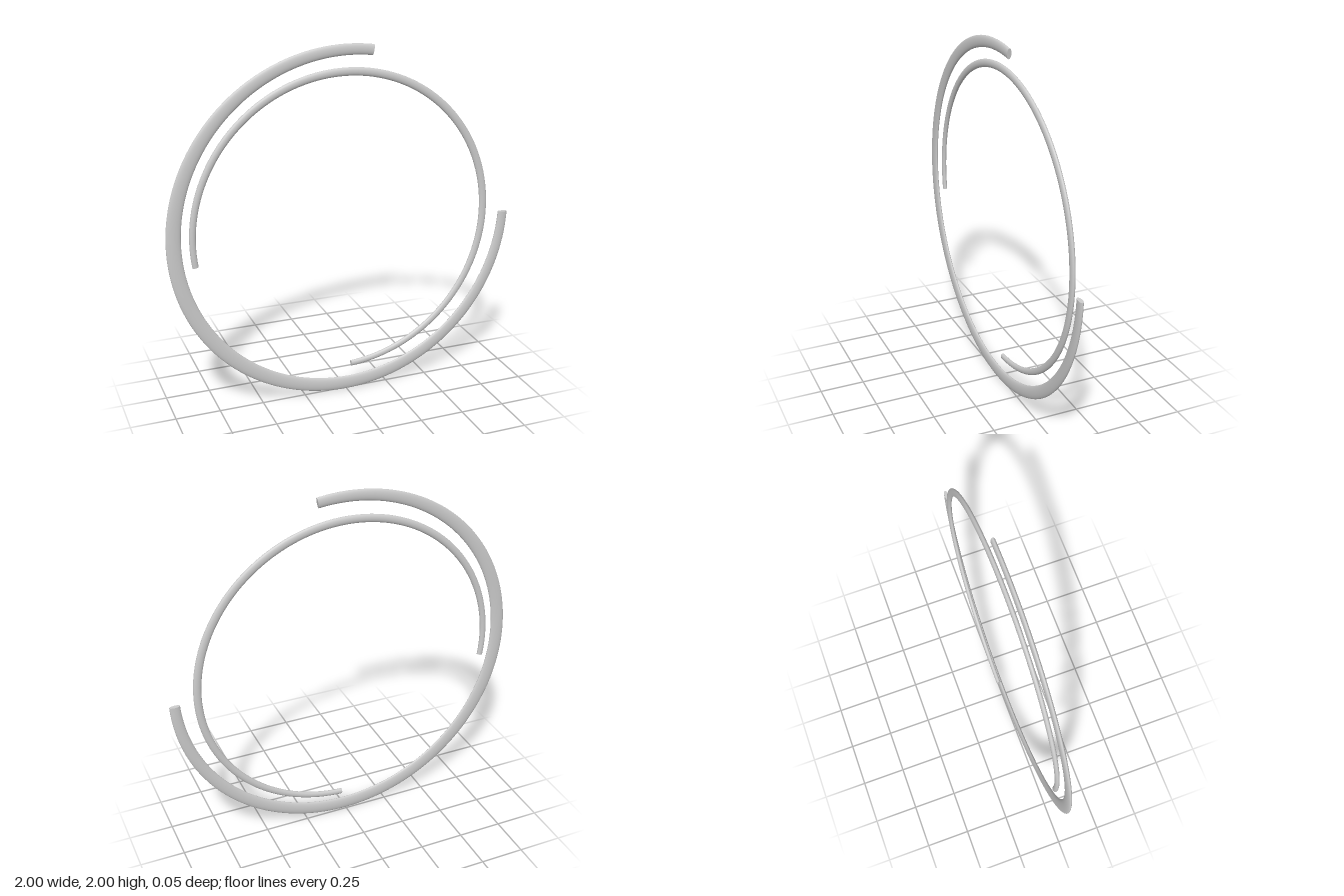
import * as THREE from 'three';

const SEGMENTS = 120, SIDES = 24;

// Circular band with an oval section: fixed outer radius, widest halfway along, flat capped ends
function arcBand(name, { from, to, outer, endWidth, midWidth, depth, z }) {
  const pos = [], index = [];
  const point = (deg, t, s) => {
    const half = (endWidth + (midWidth - endWidth) * Math.sin(Math.PI * t)) / 2;
    const a = THREE.MathUtils.degToRad(deg);
    const b = (s / SIDES) * Math.PI * 2;
    const r = outer - half + half * Math.cos(b);
    return [r * Math.cos(a), 1 + r * Math.sin(a), z + (depth / 2) * Math.sin(b)];
  };
  // Swept surface
  for (let i = 0; i <= SEGMENTS; i++) {
    const t = i / SEGMENTS;
    for (let s = 0; s < SIDES; s++) pos.push(...point(from + (to - from) * t, t, s));
  }
  for (let i = 0; i < SEGMENTS; i++) {
    for (let s = 0; s < SIDES; s++) {
      const n = (s + 1) % SIDES;
      const a = i * SIDES + s, b = i * SIDES + n;
      const c = a + SIDES, d = b + SIDES;
      index.push(a, b, c, b, d, c);
    }
  }
  // End caps, with their own vertices to keep the rims sharp
  for (const t of [0, 1]) {
    const base = pos.length / 3;
    for (let s = 0; s < SIDES; s++) pos.push(...point(t ? to : from, t, s));
    for (let s = 1; s < SIDES - 1; s++) {
      if (t) index.push(base, base + s, base + s + 1);
      else index.push(base, base + s + 1, base + s);
    }
  }
  // Sweep runs counter-clockwise with the section turning outward to front: flip to face out
  for (let i = 0; i < index.length; i += 3) [index[i + 1], index[i + 2]] = [index[i + 2], index[i + 1]];

  const geometry = new THREE.BufferGeometry();
  geometry.setAttribute('position', new THREE.Float32BufferAttribute(pos, 3));
  geometry.setIndex(index);
  geometry.computeVertexNormals();
  const mesh = new THREE.Mesh(
    geometry,
    new THREE.MeshStandardMaterial({ color: 0xcccccc, side: THREE.DoubleSide })
  );
  mesh.name = name;
  return mesh;
}

export function createModel() {
  const group = new THREE.Group();
  group.name = 'interlockingRings';
  // Wide front arc, open at the upper right
  group.add(arcBand('outerArc', {
    from: 81, to: 358, outer: 1, endWidth: 0.058, midWidth: 0.083, depth: 0.025, z: 0.01,
  }));
  // Slim rear arc, open at the lower left
  group.add(arcBand('innerArc', {
    from: -87.6, to: 188.8, outer: 0.872, endWidth: 0.034, midWidth: 0.046, depth: 0.025, z: -0.01,
  }));
  return group;
}
